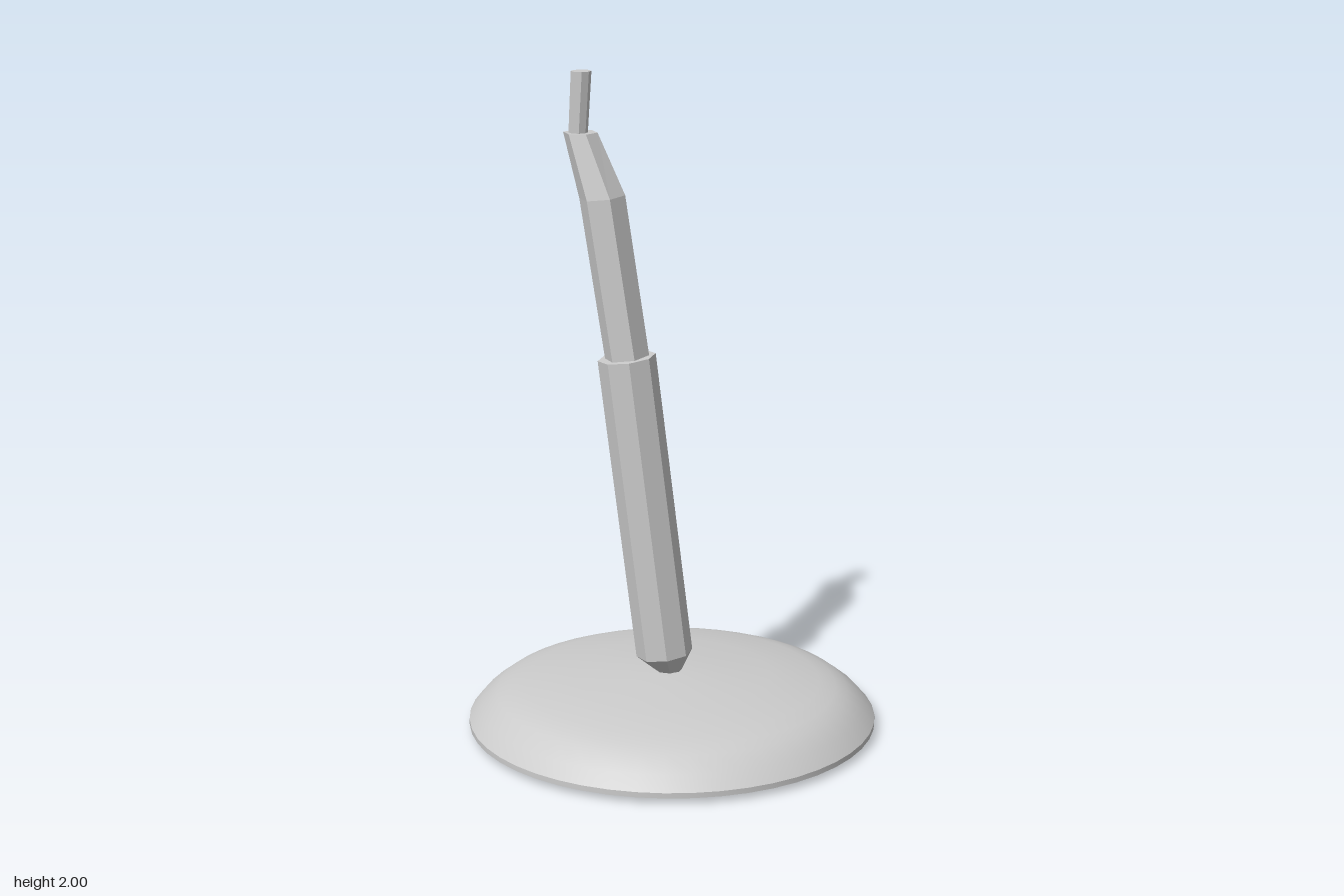
import * as THREE from 'three';
import { toCreasedNormals } from 'three/addons/utils/BufferGeometryUtils.js';

const smooth = new THREE.MeshStandardMaterial({ color: 0xcccccc });
const faceted = new THREE.MeshStandardMaterial({ color: 0xcccccc, flatShading: true });

// Closed faceted loft through rings [x, y, z, radius, slopeX, slopeZ]
function loft(rings, sides, turn = 0) {
  const pos = [], index = [];
  for (const [x, y, z, r, sx = 0, sz = 0] of rings) {
    for (let i = 0; i < sides; i++) {
      const a = turn + (i / sides) * Math.PI * 2;
      const dx = r * Math.cos(a), dz = r * Math.sin(a);
      pos.push(x + dx, y + dx * sx + dz * sz, z + dz);
    }
  }
  const last = rings.length - 1;
  for (let k = 0; k < last; k++) {
    for (let i = 0; i < sides; i++) {
      const a = k * sides + i, b = k * sides + (i + 1) % sides;
      index.push(a, a + sides, b, b, a + sides, b + sides);
    }
  }
  // end caps as fans
  const t = last * sides;
  for (let i = 1; i < sides - 1; i++) {
    index.push(0, i, i + 1);
    index.push(t, t + i + 1, t + i);
  }
  const g = new THREE.BufferGeometry();
  g.setAttribute('position', new THREE.Float32BufferAttribute(pos, 3));
  g.setIndex(index);
  const flat = g.toNonIndexed();
  flat.computeVertexNormals();
  return flat;
}

export function createModel() {
  const model = new THREE.Group();
  const add = (name, geometry, material) => {
    const mesh = new THREE.Mesh(geometry, material);
    mesh.name = name;
    model.add(mesh);
  };

  // Shallow domed round base
  const profile = [
    [0, 0], [0.13, 0.002], [0.6, 0.01], [0.62, 0.018], [0.62, 0.034],
    [0.585, 0.075], [0.535, 0.113], [0.5, 0.127], [0.45, 0.142],
    [0.3, 0.161], [0.15, 0.174], [0.05, 0.18], [0, 0.18],
  ].map(([x, y]) => new THREE.Vector2(x, y));
  add('base', toCreasedNormals(new THREE.LatheGeometry(profile, 48), 0.6), smooth);

  // Leaning sleeve with a tapered foot resting on the base
  add('sleeve', loft([
    [-0.01, 0.175, 0.012, 0.038],
    [-0.025, 0.235, 0.016, 0.085, 0.118, 0.013],
    [-0.135, 1.16, 0.005, 0.086, 0.118, 0.013],
  ], 8), faceted);

  // Narrower arm rising from the sleeve, bent and tapered at the top
  add('arm', loft([
    [-0.125, 1.1, 0.005, 0.066, 0.118, 0.013],
    [-0.202, 1.635, -0.022, 0.068, 0.1, 0.02],
    [-0.262, 1.82, -0.058, 0.051],
  ], 6, Math.PI / 12), faceted);

  // Slim pin at the tip
  add('pin', loft([
    [-0.27, 1.79, -0.057, 0.028],
    [-0.259, 2, -0.043, 0.03],
  ], 8), faceted);

  return model;
}
